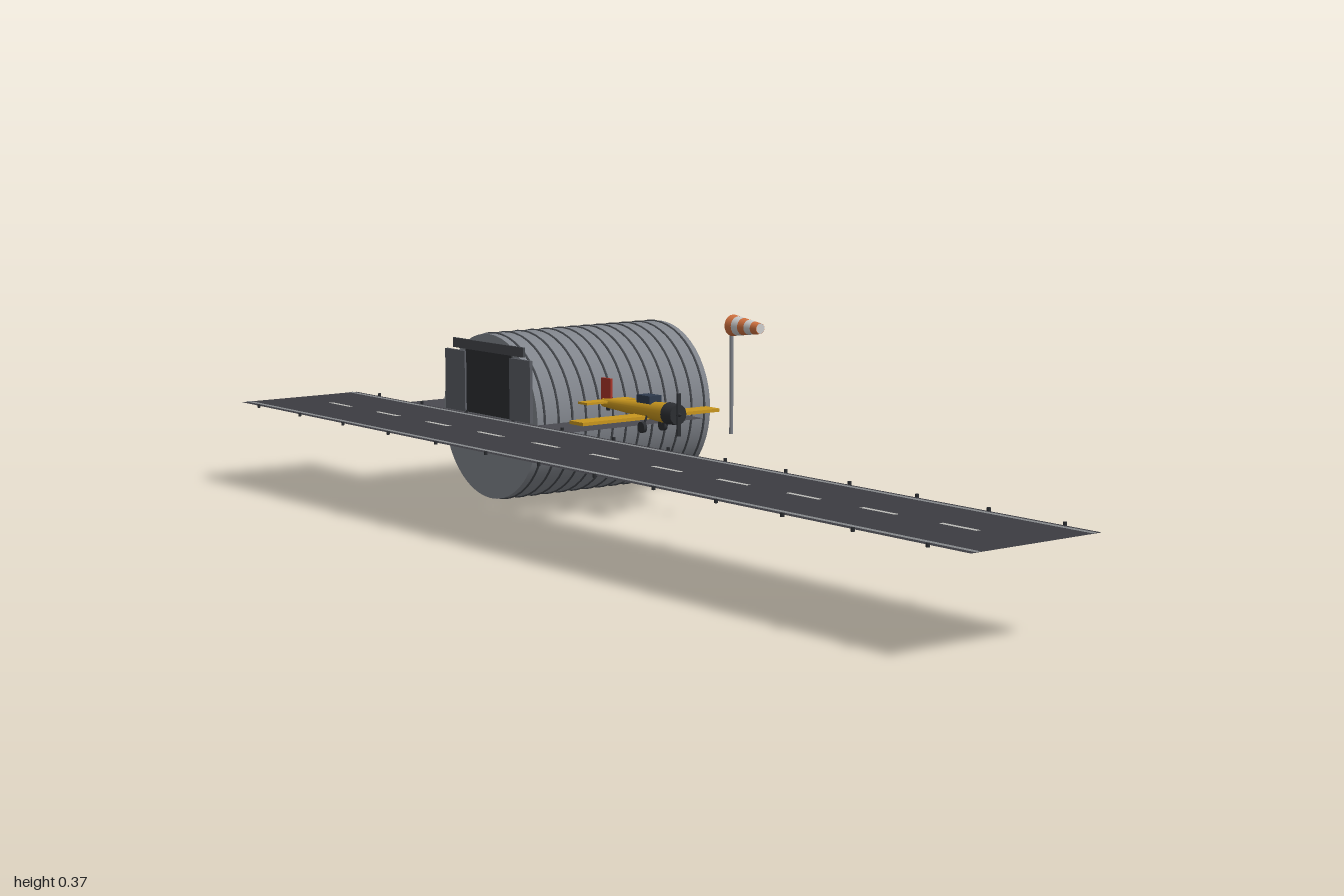
import * as THREE from 'three';

const GROUND = 0.159;

const mat = (color, extra = {}) => new THREE.MeshStandardMaterial({ color, ...extra });
const asphalt = mat(0x3c3c41, { side: THREE.DoubleSide });
const concrete = mat(0x4a4a50, { side: THREE.DoubleSide });
const paint = mat(0xb8b8b4, { side: THREE.DoubleSide });
const edgePaint = mat(0x85888a, { side: THREE.DoubleSide });
const steel = mat(0x80848b);
const rib = mat(0x44474c);
const doorGrey = mat(0x5a5d64);
const dark = mat(0x2c2e32);
const yellow = mat(0xc8961e);
const red = mat(0xa83428);
const glass = mat(0x2e3a4c);
const orange = mat(0xd0713f);
const white = mat(0xd8d8d4);

function add(parent, name, geometry, material, x = 0, y = 0, z = 0) {
  const mesh = new THREE.Mesh(geometry, material);
  mesh.name = name;
  mesh.position.set(x, y, z);
  parent.add(mesh);
  return mesh;
}
const box = (w, h, d) => new THREE.BoxGeometry(w, h, d);
const flat = (w, d) => new THREE.PlaneGeometry(w, d).rotateX(-Math.PI / 2);
// Cylinder lying along x; the first radius is at the +x end
const cylX = (rFront, rBack, length, sides = 20) =>
  new THREE.CylinderGeometry(rFront, rBack, length, sides).rotateZ(-Math.PI / 2);

function group(parent, name) {
  const g = new THREE.Group();
  g.name = name;
  parent.add(g);
  return g;
}

function buildRunway(root) {
  const g = group(root, 'runway');
  const zc = 0.199;
  add(g, 'runwaySurface', flat(2, 0.256), asphalt, 0, GROUND, zc);
  add(g, 'apron', flat(0.535, 0.3), concrete, -0.541, GROUND - 0.001, -0.081);
  for (const s of [-1, 1]) {
    add(g, 'edgeLine', flat(2, 0.01), edgePaint, 0, GROUND + 0.0008, zc + s * 0.114);
    // Edge lights
    for (let i = 0; i < 13; i++) {
      add(g, 'edgeLight', new THREE.CylinderGeometry(0.003, 0.003, 0.006, 8), dark,
        -0.923 + i * 0.1538, GROUND + 0.001, zc + s * 0.134);
    }
  }
  // Centre line dashes
  for (let i = 0; i < 11; i++) {
    add(g, 'centreDash', flat(0.077, 0.009), paint, -0.846 + i * 0.1692, GROUND + 0.0008, zc);
  }
}

function buildHangar(root) {
  const g = group(root, 'hangar');
  g.position.set(-0.541, 0.158, 0);
  add(g, 'hangarShell', new THREE.CylinderGeometry(0.1535, 0.1535, 0.4, 48).rotateX(Math.PI / 2),
    steel, 0, 0, -0.137);
  for (let i = 0; i < 13; i++) {
    add(g, 'hangarRib', new THREE.TorusGeometry(0.1535, 0.0025, 6, 48), rib, 0, 0, 0.047 - i * 0.0308);
  }
  // Doorway, sliding doors and door rail on the front wall
  add(g, 'doorway', box(0.15, 0.12, 0.004), dark, 0, 0.062, 0.0635);
  for (const s of [-1, 1]) {
    add(g, 'slidingDoor', box(0.066, 0.114, 0.006), doorGrey, s * 0.106, 0.059, 0.066);
  }
  add(g, 'doorRail', box(0.23, 0.018, 0.005), rib, 0, 0.129, 0.0645);
}

function buildAirplane(root) {
  const g = group(root, 'airplane');
  g.position.set(-0.2, 0.197, -0.046);
  add(g, 'fuselage', cylX(0.019, 0.008, 0.195), yellow, -0.035, 0, 0);
  add(g, 'engineCowl', cylX(0.018, 0.02, 0.026), dark, 0.073, 0, 0);
  add(g, 'spinner', new THREE.ConeGeometry(0.006, 0.012, 12).rotateZ(-Math.PI / 2), dark, 0.09, 0, 0);
  add(g, 'propeller', box(0.003, 0.076, 0.008), dark, 0.0875, 0, 0);
  add(g, 'wing', box(0.04, 0.006, 0.306), yellow, -0.008, -0.012, 0);
  add(g, 'tailplane', box(0.028, 0.004, 0.109), yellow, -0.124, 0.003, 0);
  add(g, 'tailFin', box(0.028, 0.04, 0.005), red, -0.124, 0.025, 0);
  add(g, 'canopy', box(0.038, 0.014, 0.027), glass, 0.002, 0.02, 0);
  // Main landing gear
  for (const s of [-1, 1]) {
    const strut = add(g, 'gearStrut', new THREE.CylinderGeometry(0.002, 0.002, 0.026, 8), dark, 0.012, -0.02, s * 0.018);
    strut.rotation.x = -s * 0.4;
    add(g, 'wheel', new THREE.CylinderGeometry(0.01, 0.01, 0.007, 16).rotateX(Math.PI / 2),
      dark, 0.012, -0.028, s * 0.023);
  }
  add(g, 'tailWheel', new THREE.CylinderGeometry(0.004, 0.004, 0.004, 12).rotateX(Math.PI / 2),
    dark, -0.12, -0.01, 0);
}

function buildWindsock(root) {
  const g = group(root, 'windsock');
  g.position.set(-0.08, GROUND, -0.138);
  add(g, 'windsockPole', new THREE.CylinderGeometry(0.0035, 0.0035, 0.2, 10), steel, 0, 0.1, 0);
  // Tapered sock in alternating bands
  const bands = 5, length = 0.075, step = length / bands;
  const radius = (i) => 0.019 - (i / bands) * 0.0095;
  const sock = group(g, 'sock');
  sock.position.set(0.004, 0.193, 0);
  for (let i = 0; i < bands; i++) {
    add(sock, 'sockBand', cylX(radius(i + 1), radius(i), step, 20), i % 2 ? white : orange, (i + 0.5) * step, 0, 0);
  }
  add(sock, 'sockEnd', new THREE.CircleGeometry(0.009, 20).rotateY(Math.PI / 2), white, length + 0.0005, 0, 0);
}

export function createModel() {
  const root = new THREE.Group();
  root.name = 'airfield';
  buildRunway(root);
  buildHangar(root);
  buildAirplane(root);
  buildWindsock(root);
  return root;
}
